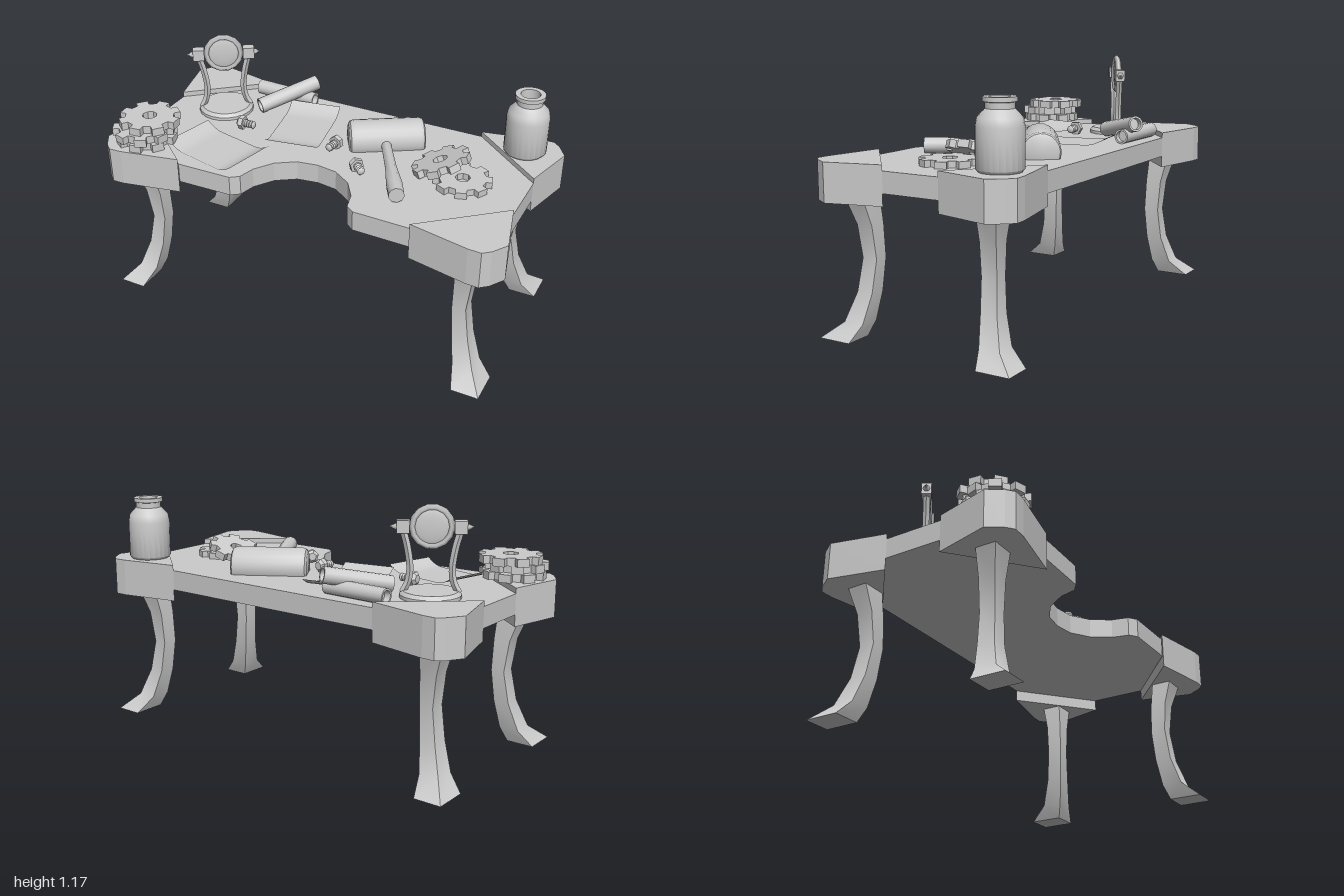
import * as THREE from 'three';
import { toCreasedNormals } from 'three/addons/utils/BufferGeometryUtils.js';

const grey = new THREE.MeshStandardMaterial({ color: 0xcccccc, side: THREE.DoubleSide });

function add(parent, name, geometry, x = 0, y = 0, z = 0) {
  const mesh = new THREE.Mesh(geometry, grey);
  mesh.name = name;
  mesh.position.set(x, y, z);
  parent.add(mesh);
  return mesh;
}

// Upright prism from a plan outline of [x, z] points
function slab(points, y0, y1) {
  const shape = new THREE.Shape(points.map(([x, z]) => new THREE.Vector2(x, -z)));
  return new THREE.ExtrudeGeometry(shape, { depth: y1 - y0, bevelEnabled: false })
    .rotateX(-Math.PI / 2).translate(0, y0, 0);
}

// Profile of [radius, height] points turned around y, with sharp edges kept
function turned(profile, sides) {
  const points = profile.map(([r, y]) => new THREE.Vector2(r, y));
  return toCreasedNormals(new THREE.LatheGeometry(points, sides), 0.7);
}

// Turn a y-aligned mesh so it points from a to b, standing on a
function aim(mesh, a, b) {
  const from = new THREE.Vector3(...a), dir = new THREE.Vector3(...b).sub(from);
  mesh.position.copy(from);
  mesh.quaternion.setFromUnitVectors(new THREE.Vector3(0, 1, 0), dir.normalize());
  return mesh;
}

// Cabriole leg: rectangular sections [y, outer x, inner x, outer z, inner z]
function legGeometry(sx, sz) {
  const sections = [
    [0, 0.96, 0.83, 0.485, 0.325], [0.07, 0.895, 0.80, 0.40, 0.30],
    [0.2, 0.85, 0.775, 0.36, 0.28], [0.35, 0.825, 0.76, 0.345, 0.27],
    [0.5, 0.845, 0.765, 0.355, 0.275], [0.63, 0.89, 0.775, 0.385, 0.285],
  ];
  const pos = [], index = [];
  const tri = (a, b, c) => (sx * sz > 0 ? index.push(a, b, c) : index.push(a, c, b));
  sections.forEach(([y, xo, xi, zo, zi], i) => {
    for (const [x, z] of [[xo, zo], [xo, zi], [xi, zi], [xi, zo]]) pos.push(x * sx, y, z * sz);
    if (i === 0) return;
    for (let k = 0; k < 4; k++) {
      const a = (i - 1) * 4 + k, b = (i - 1) * 4 + (k + 1) % 4;
      tri(a, b, b + 4);
      tri(a, b + 4, a + 4);
    }
  });
  tri(0, 2, 1);
  tri(0, 3, 2);
  const geo = new THREE.BufferGeometry();
  geo.setAttribute('position', new THREE.Float32BufferAttribute(pos, 3));
  geo.setIndex(index);
  return toCreasedNormals(geo, 0.6);
}

// Eight-toothed gear with a centre hole, lying flat
function gearGeometry(radius, thickness) {
  const shape = new THREE.Shape(), teeth = 8, step = Math.PI * 2 / teeth;
  const profile = [[-0.30, 0.79], [-0.25, 1], [0.25, 1], [0.30, 0.79]];
  for (let i = 0; i < teeth; i++) {
    profile.forEach(([t, r], k) => {
      const a = (i + t) * step, x = Math.cos(a) * r * radius, y = Math.sin(a) * r * radius;
      if (i + k === 0) shape.moveTo(x, y); else shape.lineTo(x, y);
    });
  }
  shape.closePath();
  shape.holes.push(new THREE.Path().absarc(0, 0, 0.035, 0, Math.PI * 2, true));
  return new THREE.ExtrudeGeometry(shape, { depth: thickness, bevelEnabled: false, curveSegments: 4 })
    .rotateX(-Math.PI / 2);
}

// Sheet of paper whose two ends curl upward
function paperGeometry(width, length, lift) {
  const geo = new THREE.PlaneGeometry(width, length, 1, 16).rotateX(-Math.PI / 2);
  const p = geo.attributes.position;
  for (let i = 0; i < p.count; i++) {
    const t = Math.max(0, Math.abs(p.getZ(i)) * 2 / length - 0.55) / 0.45;
    p.setY(i, lift * t * t);
  }
  geo.computeVertexNormals();
  return geo;
}

function buildMirror() {
  const mirror = new THREE.Group();
  mirror.name = 'standingMirror';
  add(mirror, 'mirrorBase', turned([[0, 0], [0.135, 0], [0.135, 0.02], [0.12, 0.035], [0, 0.035]], 20));
  add(mirror, 'mirrorFrame', new THREE.TorusGeometry(0.083, 0.015, 4, 14), 0, 0.31, 0);
  add(mirror, 'mirrorGlass', new THREE.SphereGeometry(0.08, 16, 10), 0, 0.31, 0).scale.z = 0.15;
  for (const s of [-1, 1]) {
    const curve = new THREE.CatmullRomCurve3([[0.12, 0.29], [0.102, 0.22], [0.09, 0.13], [0.098, 0.07], [0.12, 0.025]]
      .map(([x, y]) => new THREE.Vector3(x * s, y, 0)));
    add(mirror, 'mirrorArm', toCreasedNormals(new THREE.TubeGeometry(curve, 14, 0.015, 4), 0.6));
    add(mirror, 'pivotBlock', new THREE.BoxGeometry(0.055, 0.055, 0.045), s * 0.122, 0.31, 0);
    const tip = add(mirror, 'pivotPoint', new THREE.ConeGeometry(0.018, 0.035, 6), s * 0.165, 0.31, 0);
    tip.rotation.z = -s * Math.PI / 2;
  }
  mirror.position.set(-0.67, 0.76, -0.135);
  mirror.rotation.y = 0.59;
  return mirror;
}

export function createModel() {
  const model = new THREE.Group();
  model.name = 'workTable';

  // Table top with a scooped front edge
  const half = [[0, 0.155], [0.1, 0.17], [0.19, 0.23], [0.25, 0.32], [0.27, 0.4], [0.31, 0.43],
    [0.58, 0.435], [0.935, 0.14], [0.935, -0.14], [0.58, -0.44]];
  const outline = [...half, ...half.slice(1).reverse().map(([x, z]) => [-x, z])];
  add(model, 'tableTop', slab(outline, 0.67, 0.765));

  // Raised corner blocks and legs
  const corner = [[0.58, 0.44], [0.86, 0.497], [0.92, 0.5], [0.955, 0.47], [1, 0.4], [0.935, 0.14]];
  for (const sx of [-1, 1]) for (const sz of [-1, 1]) {
    add(model, 'cornerBlock', slab(corner.map(([x, z]) => [x * sx, z * sz]), 0.615, 0.79));
    add(model, 'leg', legGeometry(sx, sz));
  }

  // Bottle with an open neck
  add(model, 'bottle', turned([[0, 0], [0.09, 0], [0.1, 0.012], [0.1, 0.18], [0.093, 0.215], [0.065, 0.245],
    [0.06, 0.25], [0.06, 0.275], [0.07, 0.278], [0.07, 0.297], [0.045, 0.297], [0.045, 0.22], [0, 0.22]], 24),
  0.82, 0.79, -0.36);

  // Stack of three gears
  [[-0.82, 0.335, 0.2], [-0.825, 0.35, 0.5], [-0.815, 0.308, 0.1]].forEach(([x, z, turn], i) => {
    add(model, 'stackedGear', gearGeometry(0.145, 0.037), x, 0.79 + i * 0.038, z).rotation.y = turn;
  });

  // Two gears, one leaning on the other
  add(model, 'flatGear', gearGeometry(0.135, 0.033), 0.65, 0.762, 0).rotation.y = 0.3;
  const leaning = new THREE.Group();
  leaning.name = 'leaningGear';
  add(leaning, 'gear', gearGeometry(0.138, 0.035)).rotation.y = 0.1;
  leaning.position.set(0.53, 0.795, -0.055);
  leaning.rotation.z = 0.37;
  model.add(leaning);

  // Mallet
  const headProfile = [[0, 0], [0.07, 0], [0.084, 0.008], [0.09, 0.025], [0.09, 0.335], [0.084, 0.352], [0.07, 0.36], [0, 0.36]];
  aim(add(model, 'malletHead', turned(headProfile, 20)), [0.04, 0.795, -0.085], [0.347, 0.795, -0.273]);
  aim(add(model, 'malletHandle', turned([[0, 0], [0.024, 0], [0.027, 0.2], [0.038, 0.36], [0.036, 0.44], [0, 0.44]], 10)),
    [0.23, 0.797, -0.1], [0.455, 0.803, 0.29]);

  // Rolled scrolls, one resting across the other
  const scroll = (r, l) => turned([[0, 0.03], [r * 0.75, 0.03], [r * 0.75, 0], [r, 0], [r, l],
    [r * 0.75, l], [r * 0.75, l - 0.03], [0, l - 0.03]], 14);
  aim(add(model, 'scroll', scroll(0.036, 0.32)), [-0.6, 0.8, -0.365], [-0.28, 0.8, -0.355]);
  aim(add(model, 'scroll', scroll(0.038, 0.32)), [-0.493, 0.803, -0.17], [-0.305, 0.863, -0.42]);

  // Curled papers
  const papers = [[-0.22, -0.11, 0.255, 0.42, 0.17], [-0.48, 0.245, 0.26, 0.4, 1.344]];
  for (const [x, z, w, l, turn] of papers) {
    add(model, 'paper', paperGeometry(w, l, 0.035), x, 0.769, z).rotation.y = turn;
  }

  // Loose bolts: start of the head, direction of the shank
  for (const [x, z, dx, dz] of [[-0.515, 0.005, 1, 0], [0.008, -0.05, -0.15, 1], [0.16, 0.1, 0.75, 0.7]]) {
    const bolt = new THREE.Group();
    bolt.name = 'bolt';
    add(bolt, 'boltHead', turned([[0, 0], [0.02, 0], [0.034, 0.012], [0.034, 0.035], [0, 0.035]], 6));
    const thread = [[0.018, 0.03]];
    for (let i = 0; i < 4; i++) thread.push([0.02, 0.045 + i * 0.013], [0.015, 0.051 + i * 0.013]);
    add(bolt, 'boltShank', turned([...thread, [0, 0.094]], 8));
    model.add(aim(bolt, [x, 0.796, z], [x + dx, 0.78, z + dz]));
  }

  model.add(buildMirror());
  return model;
}
